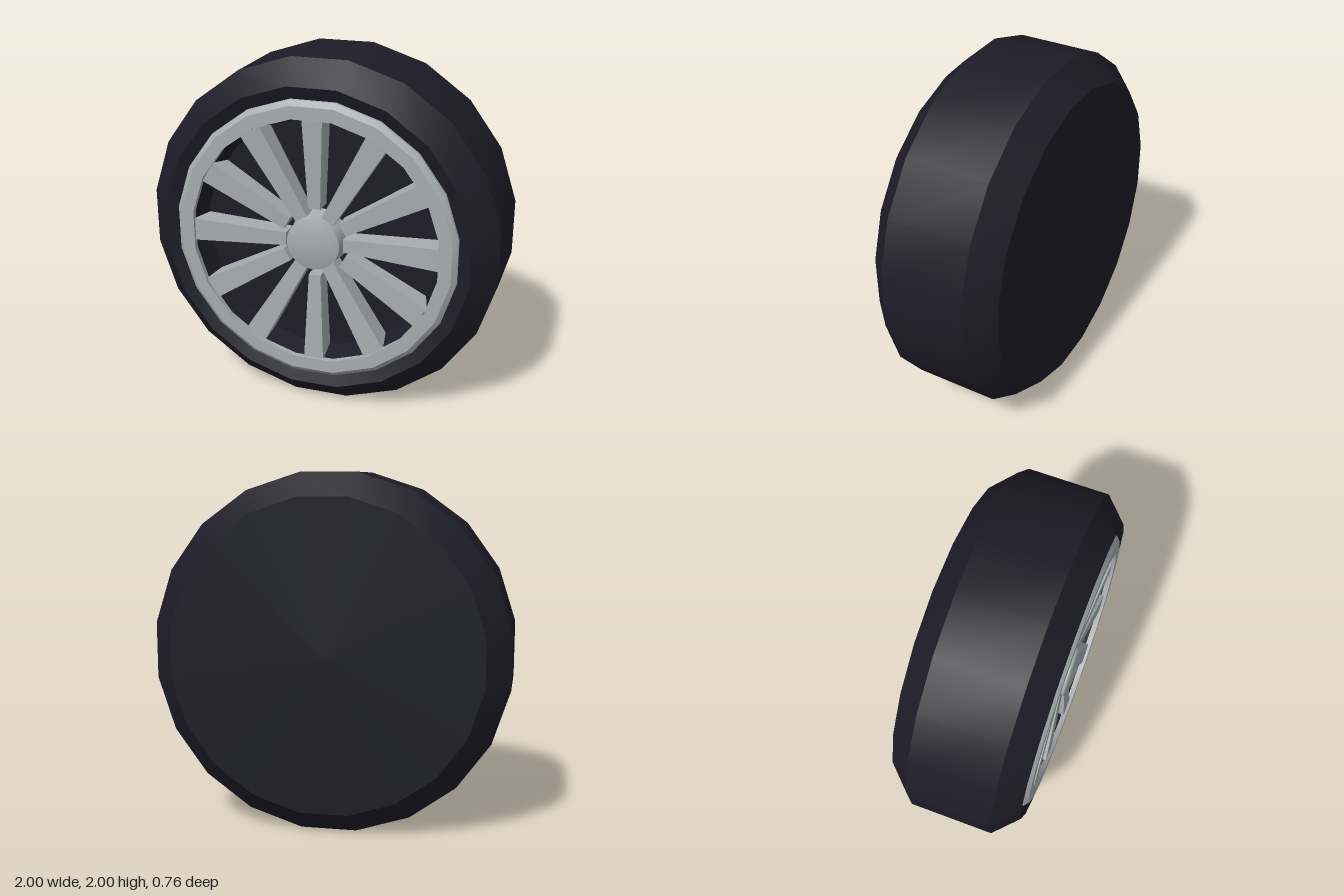
import * as THREE from 'three';
import { toCreasedNormals } from 'three/addons/utils/BufferGeometryUtils.js';

const SIDES = 20;
const CORNER = 1 / Math.cos(Math.PI / SIDES); // flat-to-flat radius -> corner radius

// Turns a [radius, z] profile around the z axis, with flats at top and sides
function turned(profile, material, name, sides = SIDES) {
  const points = profile.map(([r, z]) => new THREE.Vector2(r * CORNER, z));
  const lathe = new THREE.LatheGeometry(points, sides, Math.PI / sides);
  lathe.rotateX(Math.PI / 2);
  const mesh = new THREE.Mesh(toCreasedNormals(lathe, 0.4), material);
  mesh.name = name;
  return mesh;
}

// Tapered bar from radius r0 to r1 along +x, wider and higher at the outer end
function spokeGeometry(r0, r1, outerHalf) {
  const geometry = new THREE.BoxGeometry(1, 1, 1);
  const p = geometry.attributes.position;
  for (let i = 0; i < p.count; i++) {
    const outer = p.getX(i) > 0;
    const front = p.getZ(i) > 0;
    const halfWidth = outer ? outerHalf : outerHalf * 0.6;
    const frontZ = outer ? 0.355 : 0.325;
    p.setXYZ(i, outer ? r1 : r0, Math.sign(p.getY(i)) * halfWidth, front ? frontZ : 0.215);
  }
  geometry.computeVertexNormals();
  return geometry;
}

export function createModel() {
  const rubber = new THREE.MeshStandardMaterial({ color: 0x1d1c27 });
  rubber.name = 'dark rubber';
  const metal = new THREE.MeshStandardMaterial({ color: 0xa7acaf });
  metal.name = 'grey metal';

  const wheel = new THREE.Group();
  wheel.name = 'wheel';
  wheel.position.y = 1;

  // Tyre with closed back, chamfered shoulders and a slightly recessed inner lip
  wheel.add(turned([
    [0, -0.38], [0.87, -0.38], [1, -0.245], [1, 0.23], [0.87, 0.36], [0.79, 0.325],
  ], rubber, 'tyre'));

  // Dark dish behind the spokes
  wheel.add(turned([[0.705, 0.345], [0.668, 0.22], [0, 0.22]], rubber, 'dish'));

  // Raised rim ring with bevelled outer edge
  wheel.add(turned([
    [0.8, 0.31], [0.8, 0.348], [0.772, 0.372], [0.7, 0.372], [0.7, 0.34],
  ], metal, 'rim'));

  // Twelve spokes; their inner ends stop at different distances from the hub
  const innerEnds = [0.165, 0.185, 0.15, 0.195, 0.15, 0.185];
  for (let i = 0; i < 12; i++) {
    const upright = i % 6 === 3;
    const spoke = new THREE.Mesh(
      spokeGeometry(innerEnds[i % 6], 0.703, upright ? 0.057 : 0.064), metal);
    spoke.name = 'spoke';
    spoke.rotation.z = (i * Math.PI) / 6;
    wheel.add(spoke);
  }

  // Hub and its shallow domed cap
  wheel.add(turned([[0.165, 0.21], [0.14, 0.355]], metal, 'hub', 24));
  wheel.add(turned([
    [0.14, 0.345], [0.148, 0.352], [0.11, 0.363], [0.06, 0.371], [0, 0.376],
  ], metal, 'hubCap', 32));

  const model = new THREE.Group();
  model.name = 'wheelModel';
  model.add(wheel);
  return model;
}
